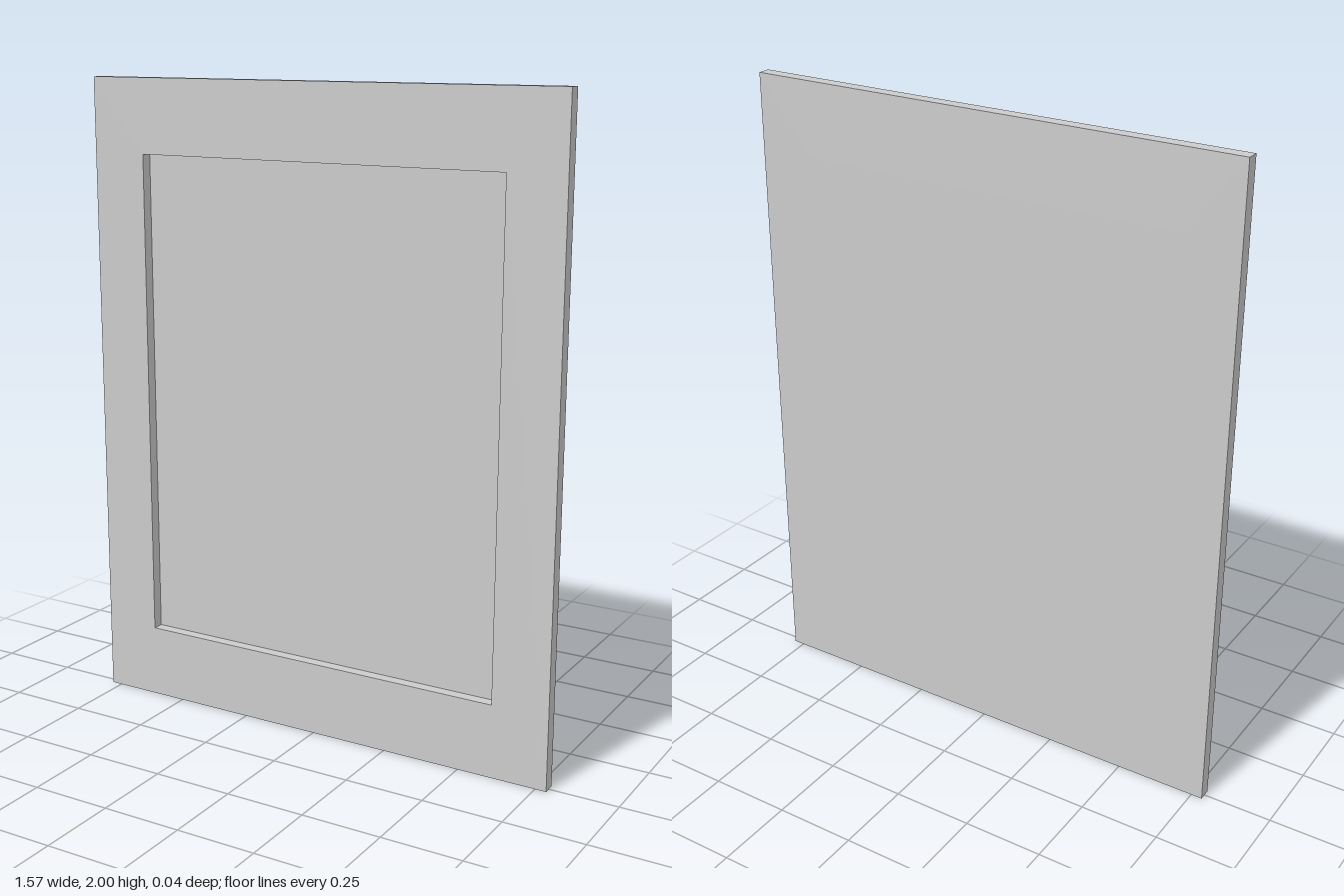
import * as THREE from 'three';

const W = 1.57, H = 2, D = 0.04;        // overall size
const OPEN_W = 1.21, OPEN_H = 1.54;     // recessed opening
const PANEL_D = 0.005;                  // thin backing left behind the recess

// Closed rectangle centred on the origin
function rectangle(PathType, w, h) {
  return new PathType([
    new THREE.Vector2(-w / 2, -h / 2),
    new THREE.Vector2(w / 2, -h / 2),
    new THREE.Vector2(w / 2, h / 2),
    new THREE.Vector2(-w / 2, h / 2),
  ]);
}

export function createModel() {
  const group = new THREE.Group();
  group.name = 'framedPanel';
  const material = new THREE.MeshStandardMaterial({ color: 0xcccccc });

  // Flat border around the opening
  const shape = rectangle(THREE.Shape, W, H);
  shape.holes.push(rectangle(THREE.Path, OPEN_W, OPEN_H));
  const frame = new THREE.Mesh(
    new THREE.ExtrudeGeometry(shape, { depth: D, bevelEnabled: false }), material);
  frame.name = 'frame';
  frame.position.set(0, H / 2, -D / 2);
  group.add(frame);

  // Recessed panel, flush with the back of the frame
  const panel = new THREE.Mesh(new THREE.BoxGeometry(OPEN_W, OPEN_H, PANEL_D), material);
  panel.name = 'recessedPanel';
  panel.position.set(0, H / 2, -D / 2 + PANEL_D / 2);
  group.add(panel);

  return group;
}
